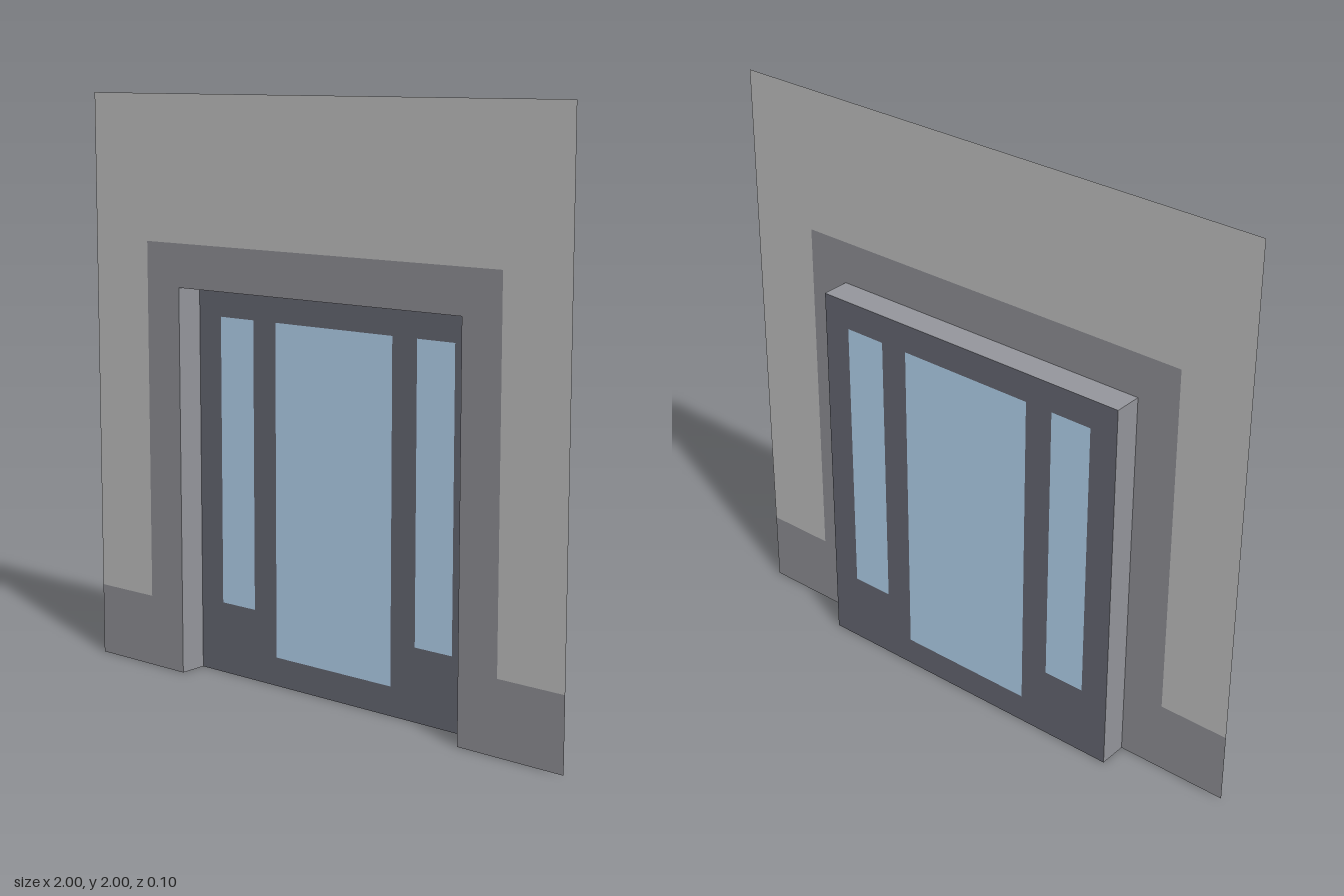
import * as THREE from 'three';

const FRONT = 0.05, BACK = -0.05;

const material = (color) => new THREE.MeshStandardMaterial({ color, side: THREE.DoubleSide });

const rect = (x0, y0, x1, y1) => [[x0, y0], [x1, y0], [x1, y1], [x0, y1]];
const toPoints = (pairs) => pairs.map(([x, y]) => new THREE.Vector2(x, y));

// Flat panel facing +z, with optional holes
function panel(name, outline, z, mat, holes = []) {
  const shape = new THREE.Shape(toPoints(outline));
  holes.forEach((h) => shape.holes.push(new THREE.Path(toPoints(h))));
  const mesh = new THREE.Mesh(new THREE.ShapeGeometry(shape), mat);
  mesh.name = name;
  mesh.position.z = z;
  return mesh;
}

export function createModel() {
  const model = new THREE.Group();
  model.name = 'entranceWall';

  const wallMat = material(0xcccccc);
  const trimMat = material(0x97989e);
  const doorMat = material(0x6c6e79);
  const glassMat = material(0xbfe1fe);

  // Upper wall, stepped around the trim
  model.add(panel('wall', [
    [-1, 0.25], [-0.75, 0.25], [-0.75, 1.5], [0.75, 1.5],
    [0.75, 0.25], [1, 0.25], [1, 2], [-1, 2],
  ], FRONT, wallMat));

  // Plinth and door surround in one band
  model.add(panel('trim', [
    [-1, 0], [-0.6, 0], [-0.6, 1.35], [0.6, 1.35], [0.6, 0], [1, 0],
    [1, 0.25], [0.75, 0.25], [0.75, 1.5], [-0.75, 1.5], [-0.75, 0.25], [-1, 0.25],
  ], FRONT, trimMat));

  // Reveal: two sides and the top of the recess, open at the floor
  const depth = FRONT - BACK;
  for (const side of [-1, 1]) {
    const jamb = new THREE.Mesh(new THREE.PlaneGeometry(depth, 1.35), trimMat);
    jamb.name = side > 0 ? 'leftReveal' : 'rightReveal';
    jamb.rotation.y = -side * Math.PI / 2;
    jamb.position.set(side * 0.6, 0.675, 0);
    model.add(jamb);
  }
  const head = new THREE.Mesh(new THREE.PlaneGeometry(1.2, depth), trimMat);
  head.name = 'topReveal';
  head.rotation.x = Math.PI / 2;
  head.position.y = 1.35;
  model.add(head);

  // Recessed door frame with its panes
  const panes = {
    doorGlass: rect(-0.25, 0.1, 0.25, 1.25),
    leftSidelight: rect(0.35, 0.25, 0.5, 1.25),
    rightSidelight: rect(-0.5, 0.25, -0.35, 1.25),
  };
  model.add(panel('doorFrame', rect(-0.6, 0, 0.6, 1.35), BACK, doorMat, Object.values(panes)));
  for (const [name, outline] of Object.entries(panes)) {
    model.add(panel(name, outline, BACK, glassMat));
  }

  return model;
}
